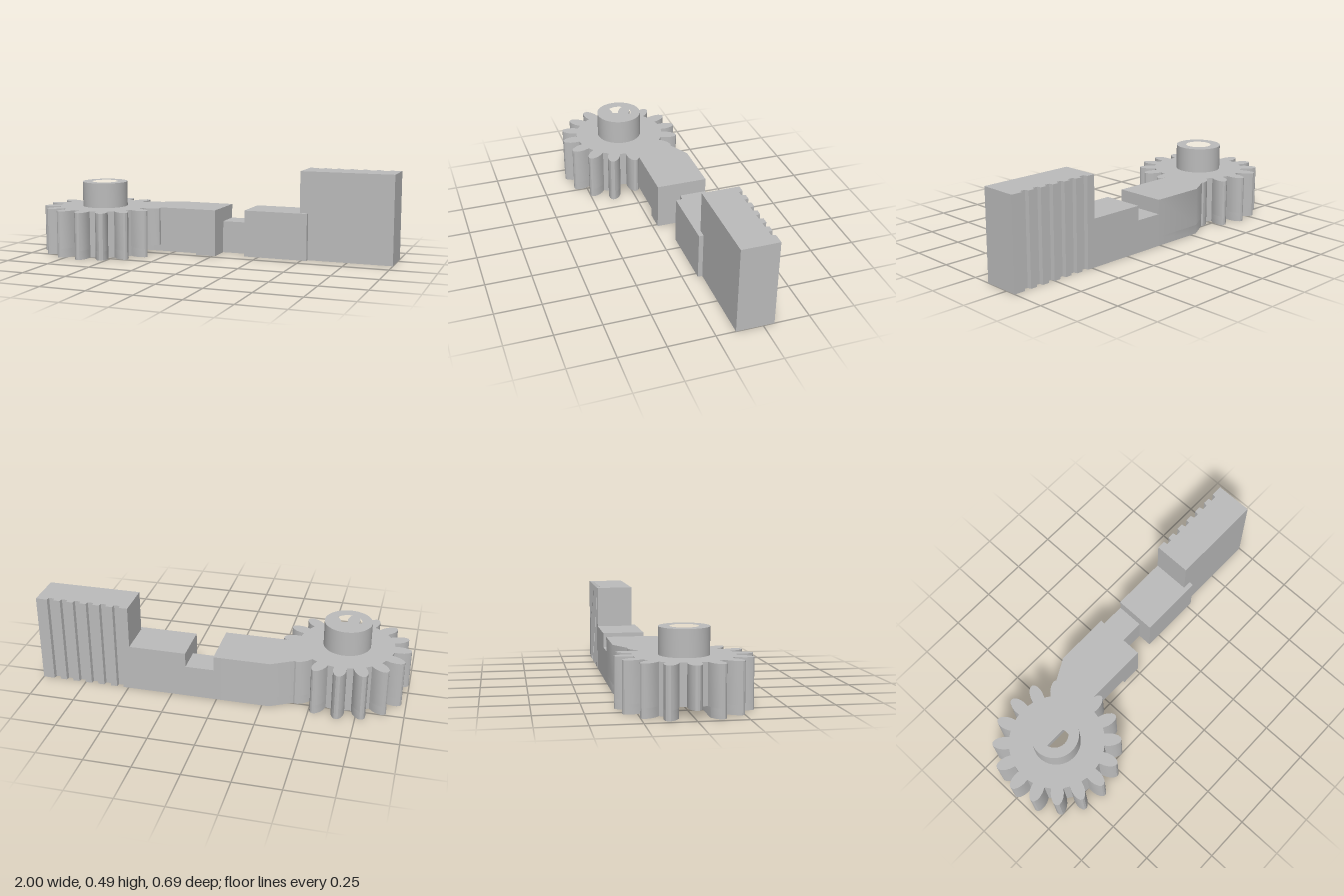
import * as THREE from 'three';
import { toCreasedNormals } from 'three/addons/utils/BufferGeometryUtils.js';

const steel = new THREE.MeshStandardMaterial({ color: 0xbbbbbb });
steel.name = 'plain grey';

const GEAR_X = -0.653, TEETH = 16, BORE = 0.072, SLOT = 0.075;

// Extrude an outline of [x, z] points upward from y0 to y1
function prism(name, points, y0, y1, holeRadius = 0) {
  const shape = new THREE.Shape(points.map(([x, z]) => new THREE.Vector2(x, -z)));
  if (holeRadius) {
    const hole = new THREE.Path();
    hole.absarc(GEAR_X, 0, holeRadius, 0, Math.PI * 2, true);
    shape.holes.push(hole);
  }
  const geo = new THREE.ExtrudeGeometry(shape, { depth: y1 - y0, bevelEnabled: false, curveSegments: 24 });
  geo.rotateX(-Math.PI / 2).translate(0, y0, 0);
  const mesh = new THREE.Mesh(toCreasedNormals(geo, 0.5), steel);
  mesh.name = name;
  return mesh;
}

const rect = (x0, x1, z0, z1) => [[x0, z0], [x1, z0], [x1, z1], [x0, z1]];

// Spur gear outline: one rounded tooth repeated around the centre
function gearOutline() {
  const flank = [[0.256, 0.033], [0.285, 0.035], [0.31, 0.031], [0.332, 0.022], [0.344, 0.011]];
  const tooth = [
    ...flank.map(([r, w]) => [r, -w]),
    [0.347, 0],
    ...flank.slice().reverse(),
  ];
  const points = [];
  for (let i = 0; i < TEETH; i++) {
    const a = (i / TEETH) * Math.PI * 2, c = Math.cos(a), s = Math.sin(a);
    for (const [r, w] of tooth) points.push([GEAR_X + r * c - w * s, r * s + w * c]);
  }
  return points;
}

// Keep the part of an outline where side * z > limit
function clip(points, side, limit) {
  const out = [];
  points.forEach((p, i) => {
    const q = points[(i + 1) % points.length];
    const dp = side * p[1] - limit, dq = side * q[1] - limit;
    if (dp >= 0) out.push(p);
    if (dp * dq < 0) {
      const t = dp / (dp - dq);
      out.push([p[0] + t * (q[0] - p[0]), side * limit]);
    }
  });
  return out;
}

// Rack outline with notches along its back
function rackOutline() {
  const back = -0.31, floor = -0.288;
  const points = [[0.483, -0.105], [0.483, back]];
  for (let i = 0; i < 6; i++) {
    const x = 0.548 + i * 0.074;
    points.push([x - 0.019, back], [x - 0.015, floor], [x + 0.015, floor], [x + 0.019, back]);
  }
  points.push([1, back], [1, -0.105]);
  return points;
}

export function createModel() {
  const model = new THREE.Group();
  model.name = 'gearAndRack';

  // Gear, with a straight slot across its underside
  const gear = new THREE.Group();
  gear.name = 'gear';
  const outline = gearOutline();
  gear.add(
    prism('gearBody', outline, 0.05, 0.26, BORE),
    prism('gearFootFront', clip(outline, 1, SLOT), 0, 0.05),
    prism('gearFootBack', clip(outline, -1, SLOT), 0, 0.05),
  );

  // Hub ring on top of the gear
  const ring = [];
  for (let i = 0; i < 64; i++) {
    const a = (i / 64) * Math.PI * 2;
    ring.push([GEAR_X + 0.128 * Math.cos(a), 0.128 * Math.sin(a)]);
  }
  gear.add(prism('hub', ring, 0.26, 0.4, BORE));

  // Arm joining the gear, notched where the slot runs under it
  const arm = new THREE.Group();
  arm.name = 'arm';
  const armBack = [[-0.5, -0.19], [-0.41, -0.245], [-0.29, -0.31], [0.015, -0.31], [0.015, -0.028]];
  arm.add(
    prism('armBody', [...armBack, [-0.45, -0.028]], 0.05, 0.26),
    prism('armFoot', [...armBack, [-0.1, -0.028], [-0.1, -SLOT], [-0.5, -SLOT]], 0, 0.05),
  );

  model.add(
    gear,
    arm,
    prism('neck', rect(0.015, 0.17, -0.31, -0.16), 0, 0.18),
    prism('block', rect(0.17, 0.483, -0.31, -0.08), 0, 0.26),
    prism('blockLip', rect(0.483, 0.53, -0.105, -0.08), 0, 0.26),
    prism('rack', rackOutline(), 0, 0.49),
  );
  return model;
}
